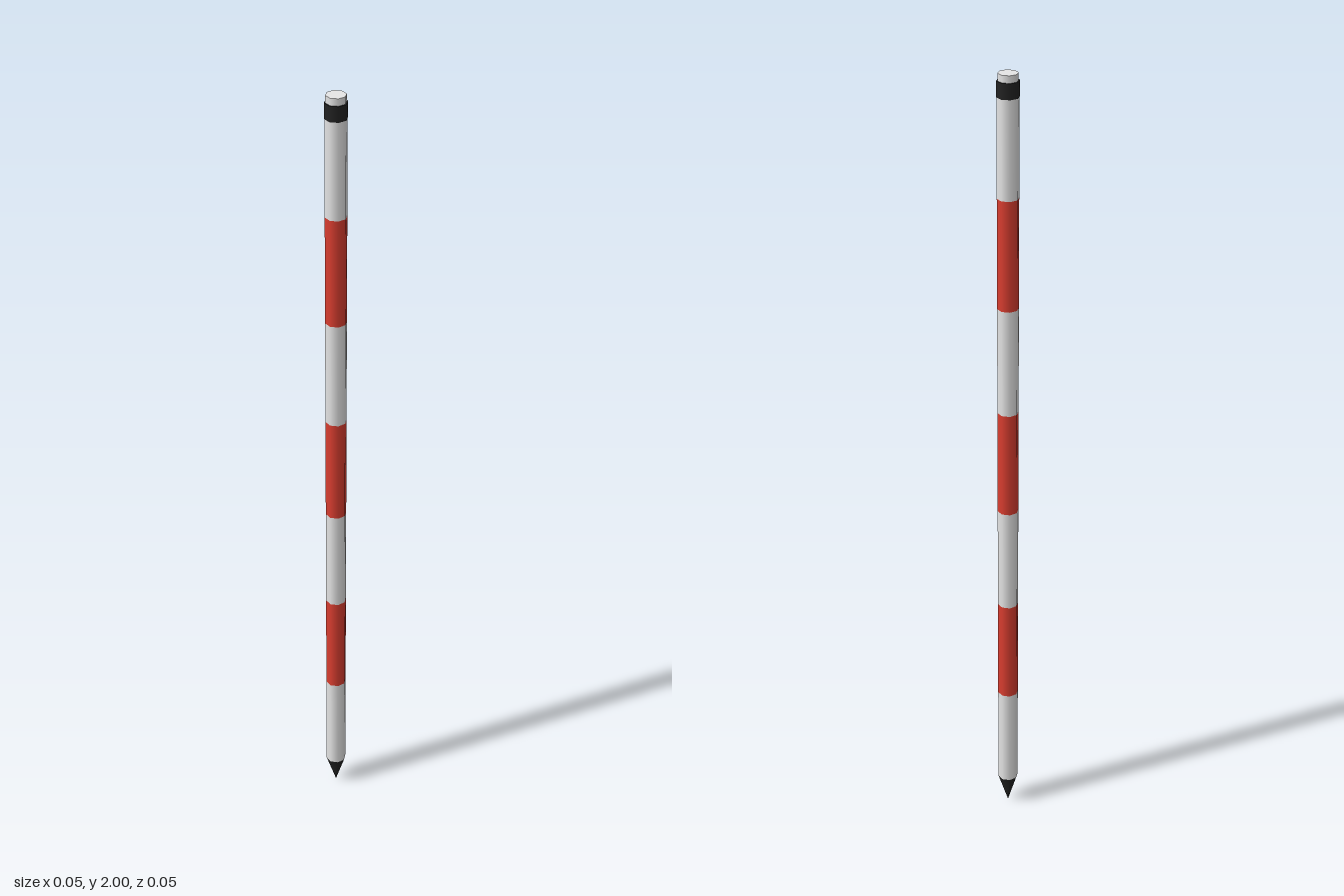
import * as THREE from 'three';

export function createModel() {
  const group = new THREE.Group();
  const material = (name, color) => {
    const m = new THREE.MeshStandardMaterial({ color });
    m.name = name;
    return m;
  };
  const white = material('white paint', 0xe6e6e6);
  const red = material('red paint', 0xdb3e30);
  const black = material('black metal', 0x222222);

  // Eight-sided section of the pole between two heights, smooth around its side
  const section = (name, mat, y0, y1, bottom, top = bottom) => {
    const mesh = new THREE.Mesh(new THREE.CylinderGeometry(top, bottom, y1 - y0, 8), mat);
    mesh.name = name;
    mesh.position.y = (y0 + y1) / 2;
    group.add(mesh);
  };

  const shaftBase = 0.082, stripe = 0.2713, radius = 0.0258;

  // Pointed ground spike
  section('spike', black, 0, shaftBase, 0, radius);

  // Alternating painted stripes
  for (let i = 0; i < 7; i++) {
    const y = shaftBase + i * stripe;
    section(i % 2 ? 'redStripe' : 'whiteStripe', i % 2 ? red : white, y, y + stripe, radius);
  }

  // Collar and end cap
  section('collar', black, 1.946, 1.983, 0.0268);
  section('endCap', white, 1.98, 2, 0.0238);
  return group;
}
